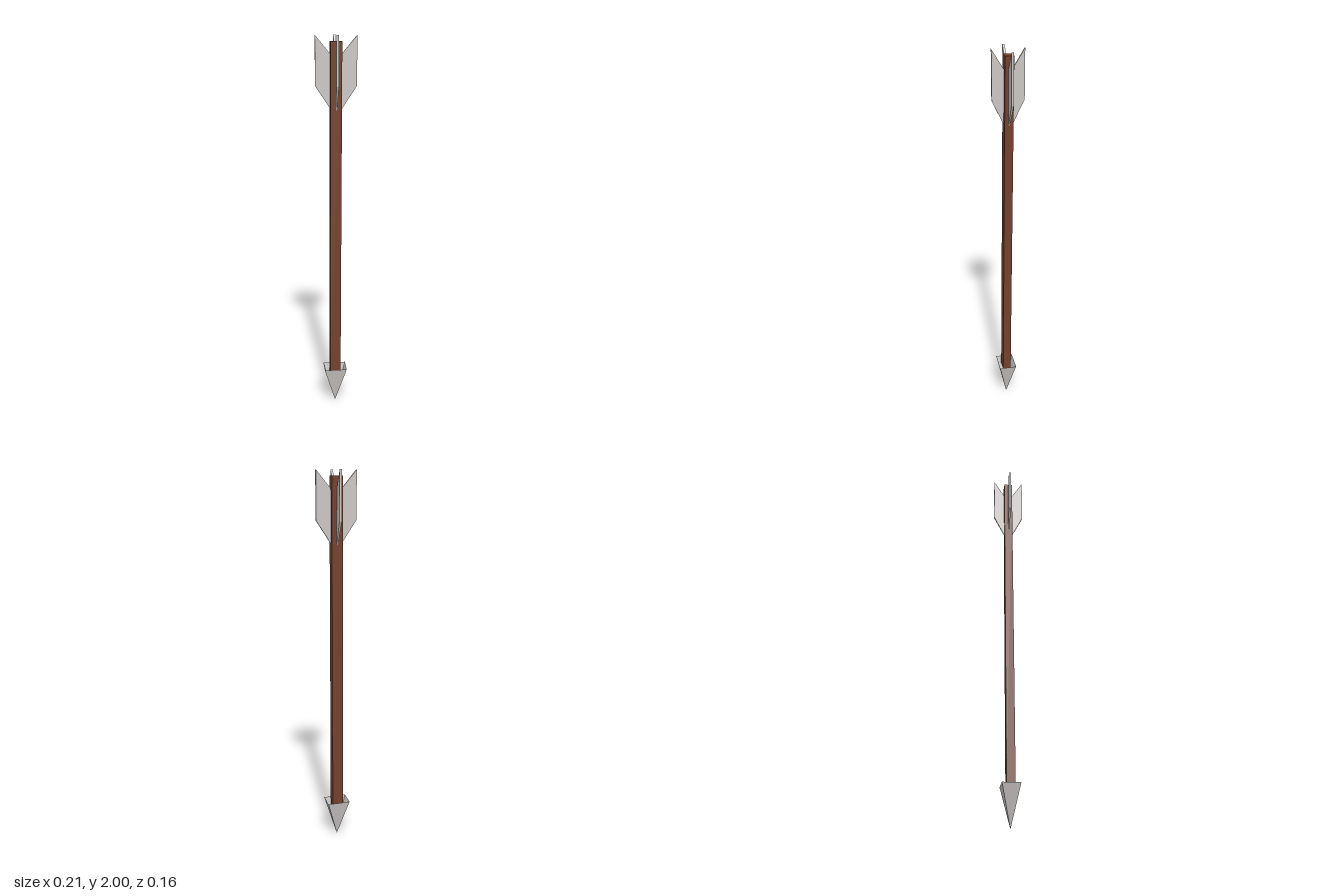
import * as THREE from 'three';

// Box whose eight corners are placed by a rule: (x, y, z signs) -> [x, y, z]
function shapedBox(rule) {
  const indexed = new THREE.BoxGeometry(2, 2, 2);
  const p = indexed.attributes.position;
  for (let i = 0; i < p.count; i++) {
    p.setXYZ(i, ...rule(p.getX(i), p.getY(i), p.getZ(i)));
  }
  const geometry = indexed.toNonIndexed();
  geometry.computeVertexNormals();
  return geometry;
}

export function createModel() {
  const model = new THREE.Group();
  model.name = 'arrow';

  const wood = new THREE.MeshStandardMaterial({ color: 0x74402c });
  wood.name = 'brownWood';
  const metal = new THREE.MeshStandardMaterial({ color: 0xc9c5c3, side: THREE.DoubleSide });
  metal.name = 'paleGrey';

  const add = (name, geometry, material) => {
    const mesh = new THREE.Mesh(geometry, material);
    mesh.name = name;
    model.add(mesh);
    return mesh;
  };

  // Shaft: a slim square bar leaning slightly toward the left and front at its foot
  add('shaft', shapedBox((x, y, z) => {
    const top = y > 0;
    return [
      x * 0.029 + (top ? 0 : -0.007),
      top ? 1.97 : 0.18,
      z * 0.022 + (top ? -0.002 : 0.0115),
    ];
  }), wood);

  // Head: open four-sided pyramid pointing down
  const tip = [-0.007, 0, 0.0105];
  const rim = [[-0.068, 0.057], [0.054, 0.057], [0.054, -0.036], [-0.068, -0.036]];
  const corners = [];
  rim.forEach(([x, z], i) => {
    const [nx, nz] = rim[(i + 1) % 4];
    corners.push(...tip, nx, 0.21, nz, x, 0.21, z);
  });
  const head = new THREE.BufferGeometry();
  head.setAttribute('position', new THREE.Float32BufferAttribute(corners, 3));
  head.computeVertexNormals();
  add('head', head, metal);

  // Fletching: four swept vanes, thicker along the outer edge
  const vane = (reach) => shapedBox((x, y, z) => {
    const outer = x > 0;
    const height = y > 0 ? (outer ? 2.0 : 1.89) : (outer ? 1.755 : 1.615);
    return [outer ? reach : 0.012, height, z * (outer ? 0.006 : 0.003)];
  });
  ['leftVane', 'backVane', 'rightVane', 'frontVane'].forEach((name, i) => {
    add(name, vane(i % 2 ? 0.081 : 0.105), metal).rotation.y = i * Math.PI / 2;
  });

  return model;
}
